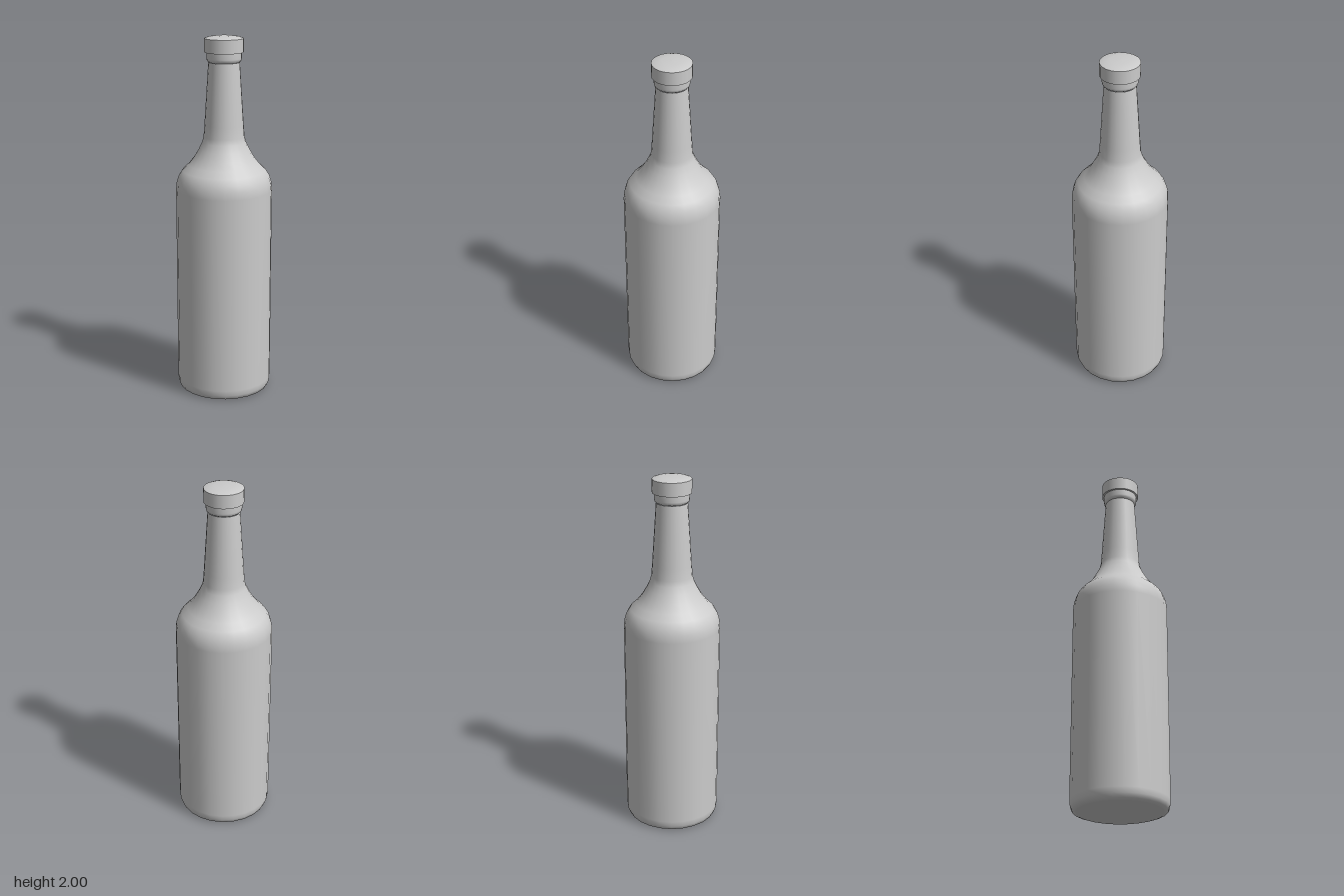
import * as THREE from 'three';

const SIDES = 24;
const material = new THREE.MeshStandardMaterial({ color: 0xcccccc });

// Smooth surface of revolution; [radius, height] pairs run upwards along the outside
function turned(name, profile) {
  const points = profile.map(([r, y]) => new THREE.Vector2(r, y));
  const mesh = new THREE.Mesh(new THREE.LatheGeometry(points, SIDES), material);
  mesh.name = name;
  return mesh;
}

export function createModel() {
  const bottle = new THREE.Group();
  bottle.name = 'bottle';

  // Flat base, split from the wall for a crisp edge
  bottle.add(turned('base', [[0, 0], [0.232, 0]]));

  // Rounded heel, straight wall, shoulder and tapering neck
  bottle.add(turned('body', [
    [0.232, 0], [0.252, 0.007], [0.262, 0.03], [0.265, 0.06],
    [0.265, 1.16], [0.261, 1.2], [0.25, 1.236], [0.23, 1.268],
    [0.196, 1.3], [0.165, 1.34], [0.139, 1.385], [0.12, 1.425], [0.112, 1.455],
    [0.107, 1.52], [0.085, 1.86],
  ]));

  // Collar below the cap
  bottle.add(turned('collar', [
    [0.083, 1.86], [0.092, 1.867], [0.095, 1.88], [0.095, 1.915],
  ]));

  // Cap: underside, straight rim and slightly domed top
  const cap = new THREE.Group();
  cap.name = 'cap';
  cap.add(turned('capUnderside', [[0.08, 1.913], [0.106, 1.913]]));
  cap.add(turned('capRim', [[0.106, 1.913], [0.106, 1.987]]));
  cap.add(turned('capTop', [[0.106, 1.987], [0.085, 1.994], [0.05, 1.999], [0, 2]]));
  bottle.add(cap);

  return bottle;
}
